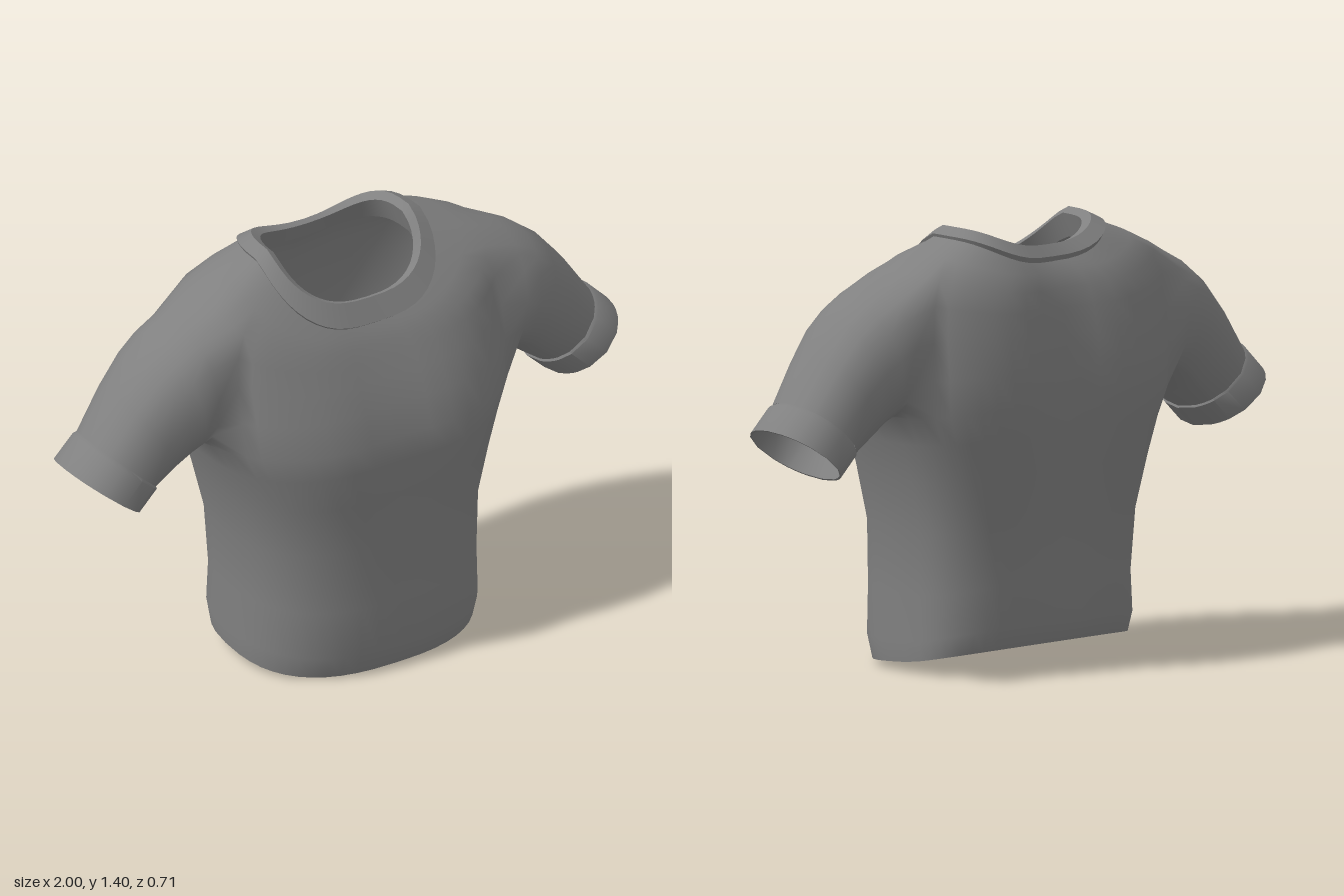
import * as THREE from 'three';
import { toCreasedNormals } from 'three/addons/utils/BufferGeometryUtils.js';

const N = 48;      // columns around the body
const HALF = 4;    // armhole half width in columns
const ARM = [6, 10]; // armhole bottom and top rows
const ZC = -0.02;  // depth of the side seams

// Ring around the body: side height, half width, front height and z,
// back height and z, depth of the centre groove, front and back curve powers
function bodyRing([ys, hw, yf, zf, yb, zb, groove = 0, frontPower = 1.6, backPower = 2.2]) {
  const ring = [];
  for (let j = 0; j < N; j++) {
    const a = (j / N) * Math.PI * 2, c = Math.cos(a), s = Math.sin(a);
    const x = hw * Math.sign(c) * Math.abs(c) ** 0.78;
    const front = s > 0;
    const dip = 1 - groove * (front ? 0.4 : 1) * Math.exp(-((x / 0.14) ** 2));
    const z = ZC + ((front ? zf : zb) - ZC) * Math.abs(s) ** (front ? 0.75 : 0.68) * dip;
    const y = ys + ((front ? yf : yb) - ys) * Math.abs(s) ** (front ? frontPower : backPower);
    ring.push(new THREE.Vector3(x, y, z));
  }
  return ring;
}

// Ring around an arm: top x y, bottom x y, front z, back z
function armRing([tx, ty, bx, by, zf, zb], angles, side) {
  return angles.map((a) => {
    const c = Math.cos(a), s = Math.sin(a);
    return new THREE.Vector3(
      side * ((tx + bx) / 2 + ((tx - bx) / 2) * c),
      (ty + by) / 2 + ((ty - by) / 2) * c,
      (zf + zb) / 2 + ((zf - zb) / 2) * s);
  });
}

function makeGeometry(points, index) {
  const g = new THREE.BufferGeometry().setFromPoints(points);
  g.setIndex(index);
  g.computeVertexNormals();
  return g;
}

// Joins two equally long closed loops of vertex numbers
function bridge(index, lower, upper, skip = () => false) {
  const n = lower.length;
  for (let j = 0; j < n; j++) {
    if (skip(j)) continue;
    const k = (j + 1) % n;
    index.push(lower[j], upper[j], upper[k], lower[j], upper[k], lower[k]);
  }
}

function loft(rings) {
  const index = [], n = rings[0].length;
  const ids = rings.map((r, i) => r.map((_, j) => i * n + j));
  for (let i = 0; i + 1 < ids.length; i++) bridge(index, ids[i], ids[i + 1]);
  return makeGeometry(rings.flat(), index);
}

const BODY = [
  [0.035, 0.415, 0.0, 0.32, 0.085, -0.265, 0, 0.8, 0.8],
  [0.10, 0.42, 0.08, 0.35, 0.16, -0.293, 0.01, 1, 1],
  [0.25, 0.415, 0.24, 0.35, 0.30, -0.287, 0.03],
  [0.45, 0.425, 0.45, 0.343, 0.48, -0.307, 0.06],
  [0.62, 0.465, 0.62, 0.36, 0.64, -0.335, 0.1],
  [0.74, 0.50, 0.74, 0.37, 0.76, -0.355, 0.13],
  [0.83, 0.54, 0.82, 0.362, 0.86, -0.367, 0.15],
  [0.95, 0.545, 0.92, 0.33, 0.96, -0.368, 0.16],
  [1.08, 0.545, 1.0, 0.292, 1.06, -0.356, 0.16],
  [1.20, 0.53, 1.06, 0.262, 1.14, -0.34, 0.16],
  [1.28, 0.50, 1.1, 0.24, 1.2, -0.325, 0.16],
  [1.325, 0.405, 1.135, 0.218, 1.25, -0.297, 0.15, 1.35, 2.5],
  [1.368, 0.29, 1.17, 0.188, 1.285, -0.262, 0.14, 1.05, 3],
];
const COLLAR = [
  [1.335, 0.288, 1.145, 0.19, 1.265, -0.262, 0.14, 1, 3],
  [1.374, 0.304, 1.163, 0.216, 1.295, -0.277, 0.14, 1, 3],
  [1.396, 0.262, 1.232, 0.172, 1.33, -0.237, 0.1, 1, 3],
  [1.378, 0.238, 1.228, 0.152, 1.322, -0.205, 0.04, 1, 3],
  [1.30, 0.262, 1.165, 0.17, 1.265, -0.235, 0.08, 1, 3],
];
const SLEEVE = [
  [0.585, 1.243, 0.557, 0.82, 0.188, -0.245],
  [0.665, 1.2, 0.575, 0.81, 0.182, -0.24],
  [0.735, 1.145, 0.605, 0.795, 0.172, -0.23],
  [0.82, 1.045, 0.645, 0.765, 0.152, -0.215],
  [0.915, 0.907, 0.708, 0.718, 0.13, -0.193],
];
const CUFF = [
  [0.91, 0.907, 0.71, 0.722, 0.126, -0.19],
  [0.928, 0.903, 0.706, 0.711, 0.137, -0.198],
  [1.0, 0.83, 0.77, 0.65, 0.14, -0.2],
  [0.994, 0.826, 0.776, 0.655, 0.135, -0.195],
  [0.91, 0.89, 0.722, 0.73, 0.122, -0.185],
];

export function createModel() {
  const group = new THREE.Group();
  const cloth = new THREE.MeshStandardMaterial({ color: 0x808080, side: THREE.DoubleSide });
  cloth.name = 'grey cloth';
  const add = (name, geometry) => {
    const mesh = new THREE.Mesh(geometry, cloth);
    mesh.name = name;
    group.add(mesh);
  };

  // Body with an armhole left open on each side
  const points = BODY.flatMap(bodyRing), index = [];
  const id = (i, j) => i * N + ((j + N) % N);
  const rows = BODY.map((_, i) => Array.from({ length: N }, (_, j) => id(i, j)));
  const inArmhole = (j) => j < HALF || j >= N - HALF || Math.abs(j + 0.5 - N / 2) < HALF;
  for (let i = 0; i + 1 < rows.length; i++) {
    const open = i >= ARM[0] && i < ARM[1];
    bridge(index, rows[i], rows[i + 1], (j) => open && inArmhole(j));
  }

  // Sleeves grow out of the armhole edges
  for (const [side, col, name] of [[1, 0, 'leftCuff'], [-1, N / 2, 'rightCuff']]) {
    let loop = [];
    for (let j = -HALF; j < HALF; j++) loop.push(id(ARM[0], col + j));
    for (let i = ARM[0]; i < ARM[1]; i++) loop.push(id(i, col + HALF));
    for (let j = HALF; j > -HALF; j--) loop.push(id(ARM[1], col + j));
    for (let i = ARM[1]; i > ARM[0]; i--) loop.push(id(i, col - HALF));
    const angles = loop.map((k) =>
      Math.atan2((points[k].z + 0.02) / 0.2, (points[k].y - 1.04) / 0.22));
    for (const r of SLEEVE) {
      const start = points.length;
      points.push(...armRing(r, angles, side));
      const next = loop.map((_, k) => start + k);
      bridge(index, loop, next);
      loop = next;
    }
    // Folded cuff
    add(name, toCreasedNormals(loft(CUFF.map((r) => armRing(r, angles, side))), 0.9));
  }
  add('shirtBodyAndSleeves', makeGeometry(points, index));

  // Raised neck band
  add('collar', toCreasedNormals(loft(COLLAR.map(bodyRing)), 0.6));
  return group;
}
